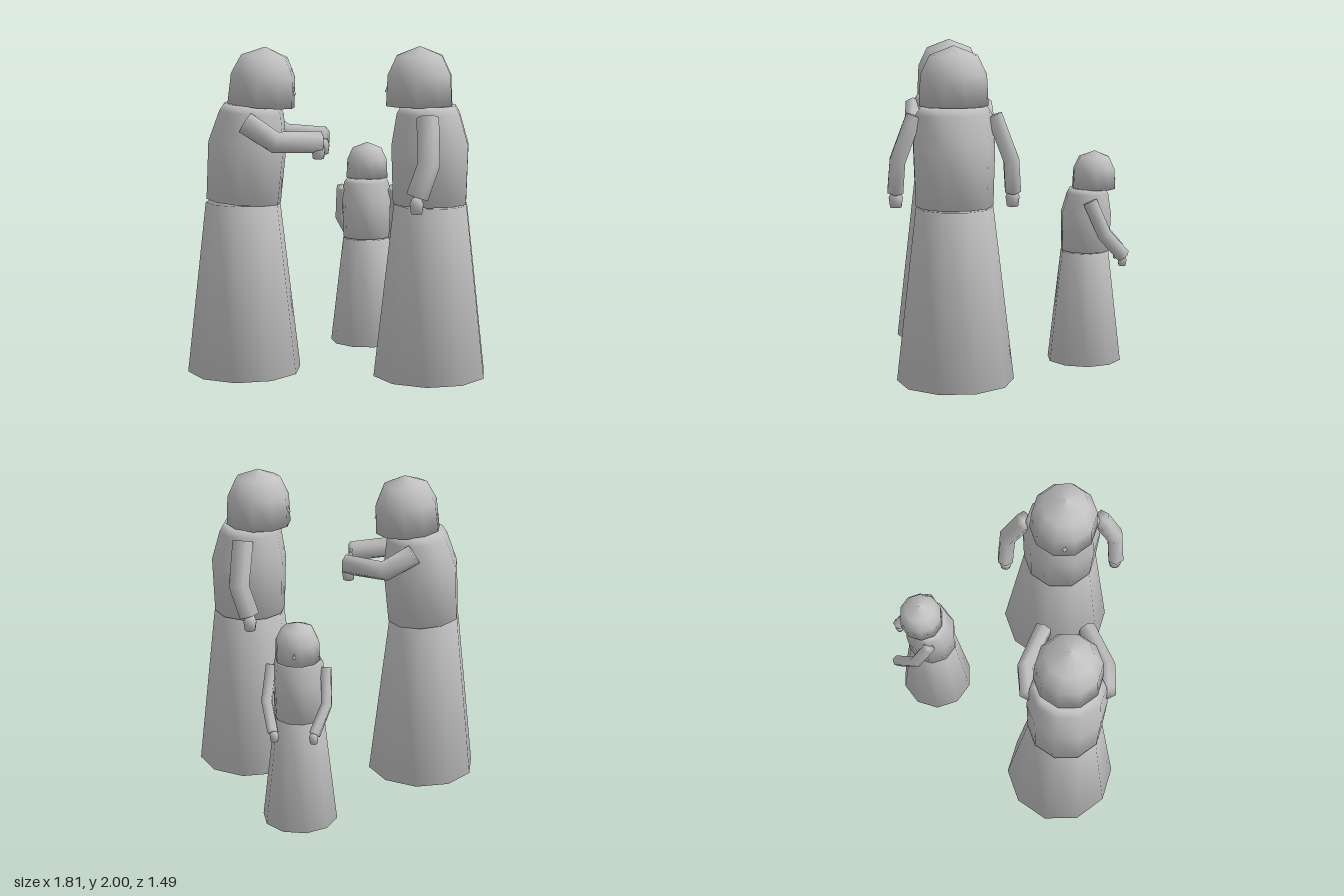
import * as THREE from 'three';
import { mergeVertices } from 'three/addons/utils/BufferGeometryUtils.js';

const HIP = 1.055;

// Ten-sided smooth turned form, with corners at the figure's sides
function turned(profile) {
  const points = profile.map(([r, y]) => new THREE.Vector2(r, y));
  return new THREE.LatheGeometry(points, 10, Math.PI / 10);
}

// Rebuild normals after moving vertices, smooth across seams and caps
function smooth(geometry) {
  geometry.deleteAttribute('normal');
  geometry.deleteAttribute('uv');
  const merged = mergeVertices(geometry, 1e-4);
  merged.computeVertexNormals();
  return merged;
}

// Chest, flattened front to back towards the shoulders
function torsoGeometry() {
  const geometry = turned([[0, 1.057], [0.23, 1.057], [0.241, 1.41], [0.226, 1.6], [0.195, 1.648], [0, 1.648]]);
  const p = geometry.attributes.position;
  for (let i = 0; i < p.count; i++) {
    const t = THREE.MathUtils.clamp((p.getY(i) - 1.41) / 0.19, 0, 1);
    p.setZ(i, p.getZ(i) * (1 - 0.13 * t) + 0.005 + 0.012 * t);
  }
  return smooth(geometry);
}

// Six-sided sleeve through shoulder, elbow and wrist
function sleeveGeometry(path) {
  const geometry = new THREE.CylinderGeometry(1, 1, 1, 6, 2);
  const frames = path.map((c, i) => {
    const before = path[Math.max(i - 1, 0)], after = path[Math.min(i + 1, 2)];
    const down = after.clone().sub(before).normalize();
    const u = new THREE.Vector3(1, 0, 0).addScaledVector(down, -down.x).normalize();
    const v = u.clone().cross(down.clone().negate());
    return { c, u, v };
  });
  const p = geometry.attributes.position;
  for (let i = 0; i < p.count; i++) {
    const { c, u, v } = frames[Math.round((0.5 - p.getY(i)) * 2)];
    const q = c.clone().addScaledVector(u, p.getX(i) * 0.054).addScaledVector(v, p.getZ(i) * 0.066);
    p.setXYZ(i, q.x, q.y, q.z);
  }
  return smooth(geometry);
}

function makeFigure(name, material, { lean, joints, hand }) {
  const figure = new THREE.Group();
  figure.name = name;
  const add = (parent, partName, geometry) => {
    const mesh = new THREE.Mesh(geometry, material);
    mesh.name = partName;
    parent.add(mesh);
    return mesh;
  };

  // Long flared skirt
  add(figure, 'skirt', turned([[0, 0], [0.352, 0], [0.23, 1.05], [0, 1.05]]));

  // Upper body leans from the hips
  const upper = new THREE.Group();
  upper.name = 'upperBody';
  upper.position.y = HIP;
  upper.rotation.x = lean;
  figure.add(upper);
  const torso = add(upper, 'torso', torsoGeometry());
  const head = add(upper, 'head', turned([[0, 1.645], [0.206, 1.645], [0.197, 1.83], [0.142, 1.945], [0, 2]]));
  head.position.z = 0.072;
  const nose = add(upper, 'nose', new THREE.ConeGeometry(0.03, 0.08, 4));
  nose.position.set(0, 1.765, 0.25);
  for (const part of [torso, head, nose]) part.position.y -= HIP;

  // Mirrored arms with small blunt hands
  for (const side of [1, -1]) {
    const label = side > 0 ? 'left' : 'right';
    const path = joints.map(([x, y, z]) => new THREE.Vector3(x * side, y, z));
    add(figure, label + 'Sleeve', sleeveGeometry(path));
    const mesh = add(figure, label + 'Hand',
      turned([[0, -0.05], [0.034, -0.048], [0.042, 0.01], [0.028, 0.045], [0, 0.05]]));
    mesh.position.set(hand[0] * side, hand[1], hand[2]);
  }
  return figure;
}

export function createModel() {
  const model = new THREE.Group();
  model.name = 'familyGroup';
  const grey = new THREE.MeshStandardMaterial({ color: 0xc0c0c0 });
  grey.name = 'plainGrey';

  // Adult reaching forward
  const reaching = makeFigure('reachingAdult', grey, {
    lean: 0.075,
    joints: [[0.235, 1.555, 0.055], [0.245, 1.44, 0.235], [0.13, 1.433, 0.495]],
    hand: [0.125, 1.38, 0.478],
  });
  reaching.position.set(-0.575, 0, 0.345);
  reaching.rotation.y = Math.PI / 2;

  // Adult with lowered arms
  const standing = makeFigure('standingAdult', grey, {
    lean: 0,
    joints: [[0.235, 1.595, 0.012], [0.335, 1.33, 0], [0.35, 1.14, 0.065]],
    hand: [0.348, 1.09, 0.068],
  });
  standing.position.set(0.57, 0, 0.343);
  standing.rotation.y = -Math.PI / 2;

  // Child with hands held out in front
  const child = makeFigure('child', grey, {
    lean: 0.015,
    joints: [[0.25, 1.55, 0.02], [0.275, 1.24, 0.155], [0.19, 1.025, 0.345]],
    hand: [0.18, 0.98, 0.335],
  });
  child.position.set(0.115, 0, -0.485);
  child.rotation.y = Math.PI;
  child.scale.setScalar(0.663);

  model.add(reaching, standing, child);
  return model;
}
